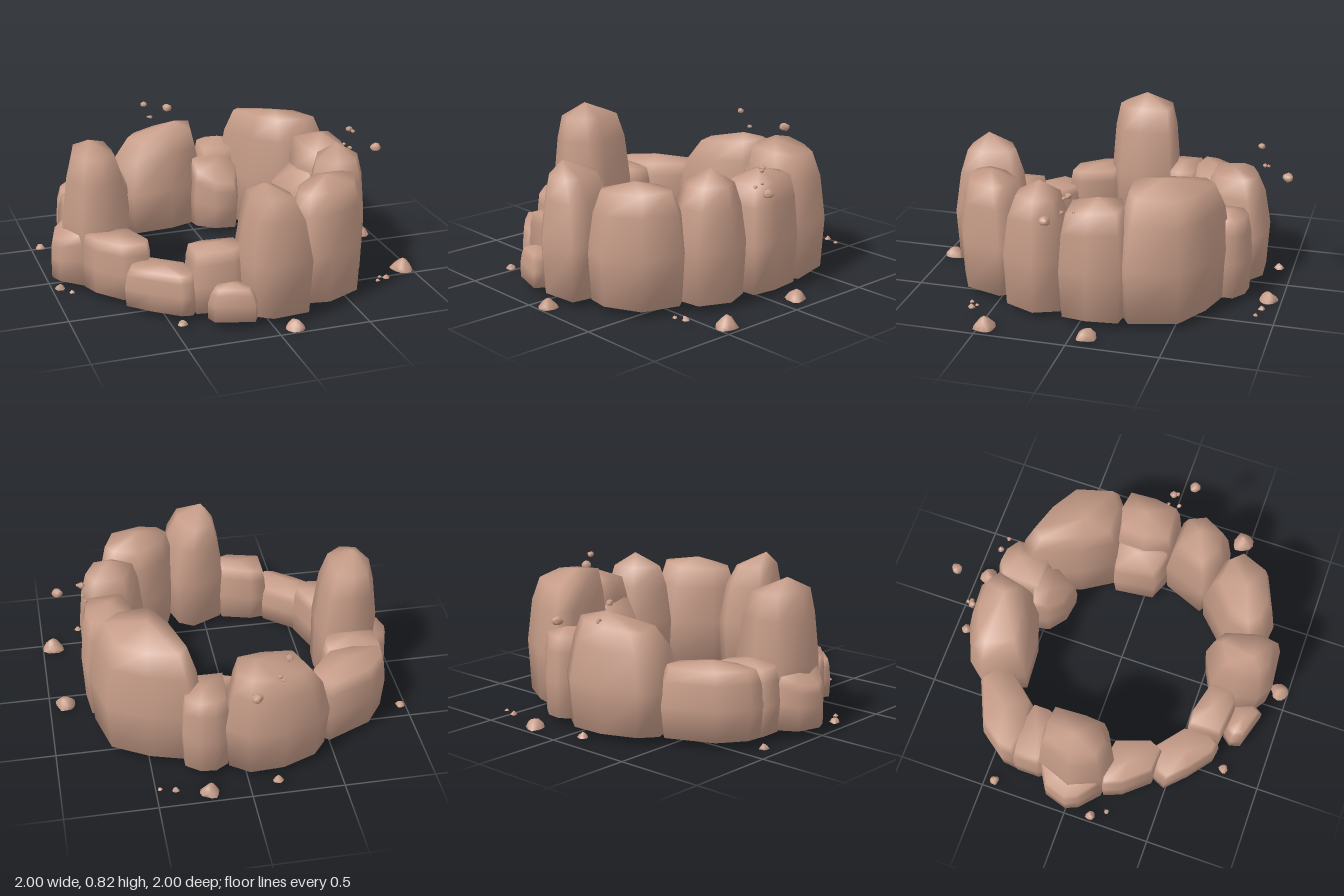
import * as THREE from 'three';
import { toCreasedNormals } from 'three/addons/utils/BufferGeometryUtils.js';

const BASE = 0.04;
const stone = new THREE.MeshStandardMaterial({ color: 0xc69c88 });
stone.name = 'stone';

// Lofts a boulder from its ground outline [x, z]: foot, belly, chest, shoulder and a peak.
// shoulder is [height fraction, width scale in x, width scale in z].
function boulder(name, outline, height, { peak, shoulder = [0.92, 0.78, 0.78], tilt = [0, 0], foot = 0.93 } = {}) {
  let area = 0;
  outline.forEach(([x, z], i) => {
    const [x2, z2] = outline[(i + 1) % outline.length];
    area += x * z2 - x2 * z;
  });
  const pts = area > 0 ? outline : [...outline].reverse();
  const n = pts.length;
  const cx = pts.reduce((s, p) => s + p[0], 0) / n;
  const cz = pts.reduce((s, p) => s + p[1], 0) / n;
  const [px, pz] = peak ?? [cx, cz];
  const [sy, sx, sz] = shoulder;
  const chest = (s) => (1 + s) / 2 + 0.02;
  // [height fraction, scale x, scale z, share of the move towards the peak]
  const rings = [
    [0, foot, foot, 0], [0.42, 1, 1, 0],
    [0.42 + (sy - 0.42) * 0.65, chest(sx), chest(sz), 0.35], [sy, sx, sz, 0.8],
  ];
  const pos = [];
  const index = [];
  for (const [fy, kx, kz, lean] of rings) {
    const mx = cx + (px - cx) * lean * (1 - kx);
    const mz = cz + (pz - cz) * lean * (1 - kz);
    for (const [x, z] of pts) {
      const vx = mx + (x - cx) * kx, vz = mz + (z - cz) * kz;
      const slope = fy * (tilt[0] * (vx - cx) + tilt[1] * (vz - cz));
      pos.push(vx, BASE + fy * (height - BASE) + slope, vz);
    }
  }
  const bottom = pos.length / 3, top = bottom + 1;
  pos.push(cx, BASE, cz, px, height + tilt[0] * (px - cx) + tilt[1] * (pz - cz), pz);
  const last = (rings.length - 1) * n;
  for (let j = 0; j < n; j++) {
    const k = (j + 1) % n;
    index.push(bottom, j, k, top, last + k, last + j);
    for (let r = 0; r < last; r += n) {
      index.push(r + j, r + n + j, r + k, r + k, r + n + j, r + n + k);
    }
  }
  const geo = new THREE.BufferGeometry();
  geo.setAttribute('position', new THREE.Float32BufferAttribute(pos, 3));
  geo.setIndex(index);
  geo.computeVertexNormals();
  const mesh = new THREE.Mesh(geo, stone);
  mesh.name = name;
  return mesh;
}

// Small irregular stone; those lying on the ground are cut flat underneath.
function pebble(name, x, y, z, r, floating, seed) {
  const geo = new THREE.IcosahedronGeometry(r, 1);
  const p = geo.attributes.position;
  const v = new THREE.Vector3();
  for (let i = 0; i < p.count; i++) {
    v.fromBufferAttribute(p, i);
    const d = v.clone().normalize();
    v.multiplyScalar(0.95 + 0.16 * Math.sin(d.x * 3 + seed * 2.1) * Math.cos(d.z * 3 + d.y * 2 + seed));
    v.y *= floating ? 0.8 : 1.05;
    if (!floating) {
      const taper = 1.1 - 0.45 * Math.max(0, v.y / r);
      v.set(v.x * taper, Math.max(v.y, -0.1 * r), v.z * taper);
    }
    p.setXYZ(i, v.x, v.y, v.z);
  }
  const mesh = new THREE.Mesh(toCreasedNormals(geo, 1.2), stone);
  mesh.position.set(x, floating ? y : y + 0.1 * r, z);
  mesh.name = name;
  return mesh;
}

export function createModel() {
  const model = new THREE.Group();
  model.name = 'stoneRing';

  // Left side: tall spire with a low buttress and its neighbours
  model.add(
    boulder('spire', [[-0.84, -0.19], [-0.7, -0.21], [-0.56, -0.19], [-0.55, 0], [-0.56, 0.12], [-0.7, 0.2], [-0.84, 0.17], [-0.91, 0]],
      0.82, { peak: [-0.75, 0], shoulder: [0.91, 0.62, 0.78], foot: 0.98 }),
    boulder('buttress', [[-0.84, -0.19], [-0.94, -0.13], [-0.98, 0.0], [-0.95, 0.07], [-0.84, 0.17], [-0.72, 0.1], [-0.72, -0.15]],
      0.38, { peak: [-0.82, 0], shoulder: [0.84, 0.92, 0.9], tilt: [0.6, 0], foot: 1 }),
    boulder('lowLeftStone', [[-0.87, -0.2], [-0.87, -0.34], [-0.7, -0.36], [-0.53, -0.33], [-0.53, -0.24], [-0.58, -0.13], [-0.8, -0.13]],
      0.42, { shoulder: [0.93, 0.85, 0.9] }),
    boulder('backLeftStone', [[-0.87, -0.33], [-0.86, -0.42], [-0.75, -0.57], [-0.48, -0.69], [-0.4, -0.62], [-0.4, -0.5], [-0.54, -0.33], [-0.7, -0.3]],
      0.44, { shoulder: [0.92, 0.86, 0.8] }),
    boulder('frontLeftStone', [[-0.84, 0.18], [-0.76, 0.13], [-0.58, 0.16], [-0.51, 0.36], [-0.54, 0.43], [-0.68, 0.42], [-0.8, 0.28]],
      0.36, { shoulder: [0.96, 0.92, 0.9], foot: 0.98 }),
    boulder('lowFrontStone', [[-0.69, 0.49], [-0.66, 0.42], [-0.52, 0.36], [-0.35, 0.5], [-0.34, 0.66], [-0.38, 0.72], [-0.44, 0.71], [-0.58, 0.6]],
      0.28, { shoulder: [0.9, 0.86, 0.84], foot: 0.97 }),
  );

  // Back arc
  model.add(
    boulder('backStone', [[-0.48, -0.68], [-0.4, -0.78], [-0.2, -0.86], [0.0, -0.87], [0.11, -0.79], [0.06, -0.53], [-0.14, -0.46], [-0.39, -0.44]],
      0.635, { peak: [-0.07, -0.67], shoulder: [0.93, 0.68, 0.6], tilt: [0.13, 0] }),
    boulder('backGapStone', [[0.08, -0.77], [0.16, -0.82], [0.25, -0.81], [0.33, -0.75], [0.33, -0.68], [0.28, -0.5], [0.06, -0.5]],
      0.52, { shoulder: [0.93, 0.84, 0.78] }),
    boulder('backInnerStone', [[-0.02, -0.55], [0.0, -0.46], [0.1, -0.38], [0.23, -0.36], [0.28, -0.48], [0.2, -0.6]],
      0.43, { shoulder: [0.9, 0.85, 0.85], tilt: [0, -0.9] }),
    boulder('backRightStone', [[0.2, -0.64], [0.27, -0.72], [0.5, -0.65], [0.71, -0.53], [0.78, -0.26], [0.66, -0.18], [0.42, -0.17], [0.3, -0.36]],
      0.75, { peak: [0.46, -0.38], shoulder: [0.95, 0.7, 0.74], tilt: [-0.06, 0.1] }),
  );

  // Right and front arc
  model.add(
    boulder('rightStone', [[0.48, -0.2], [0.64, -0.25], [0.78, -0.23], [0.8, -0.05], [0.78, 0.1], [0.52, 0.12], [0.47, -0.04]],
      0.69, { shoulder: [0.92, 0.74, 0.82], tilt: [0, -0.1] }),
    boulder('rightInnerStone', [[0.37, -0.18], [0.5, -0.22], [0.56, -0.1], [0.52, 0.11], [0.4, 0.06]],
      0.49, { shoulder: [0.94, 0.88, 0.9], tilt: [0.9, 0] }),
    boulder('rightPeakStone', [[0.5, 0.1], [0.72, 0.1], [0.78, 0.25], [0.7, 0.43], [0.55, 0.45], [0.4, 0.35]],
      0.74, { peak: [0.6, 0.25], shoulder: [0.89, 0.72, 0.62] }),
    boulder('frontRightStone', [[0.17, 0.7], [0.22, 0.54], [0.4, 0.36], [0.58, 0.4], [0.64, 0.48], [0.57, 0.7], [0.36, 0.8], [0.23, 0.78]],
      0.69, { shoulder: [0.93, 0.8, 0.66], tilt: [0.08, 0] }),
    boulder('frontStone', [[-0.13, 0.7], [-0.11, 0.57], [0.08, 0.48], [0.17, 0.53], [0.24, 0.75], [0.22, 0.88], [0.0, 0.9], [-0.09, 0.84]],
      0.75, { peak: [-0.01, 0.75], shoulder: [0.9, 0.56, 0.66] }),
    boulder('frontGapStone', [[-0.37, 0.52], [-0.28, 0.51], [-0.1, 0.56], [-0.08, 0.7], [-0.16, 0.74], [-0.37, 0.71]],
      0.4, { shoulder: [0.95, 0.88, 0.85], tilt: [0.08, 0] }),
    boulder('frontFootStone', [[-0.32, 0.77], [-0.28, 0.72], [-0.12, 0.72], [-0.07, 0.84], [-0.1, 0.89], [-0.3, 0.83]],
      0.24, { shoulder: [0.87, 0.7, 0.75], foot: 1 }),
  );

  // Ground pebbles: x, base y, z, radius
  const ground = [
    [0.22, 0, -0.93, 0.05], [0.91, 0.01, -0.09, 0.055], [0.94, 0.01, 0.46, 0.06], [0.1, 0, 0.95, 0.05],
    [-0.15, 0.03, -0.93, 0.026], [-0.46, 0.03, 0.78, 0.025], [-0.97, 0.03, 0.15, 0.026], [-0.96, 0.03, -0.44, 0.026],
    [0.4, 0.035, -0.92, 0.018], [0.48, 0.035, -0.9, 0.012], [0.78, 0.035, 0.59, 0.018], [0.72, 0.035, 0.61, 0.012],
    [0.75, 0.035, 0.57, 0.01], [-0.92, 0.035, 0.23, 0.014],
  ];
  ground.forEach(([x, y, z, r], i) => model.add(pebble('groundPebble', x, y, z, r, false, i)));

  // Pebbles higher up
  const high = [
    [0.9, 0.64, 0.13, 0.031], [-0.02, 0.64, -0.97, 0.031],
    [0.77, 0.735, 0.04, 0.02], [0.785, 0.725, 0.06, 0.013], [0.76, 0.635, 0.08, 0.013], [0.75, 0.64, 0.02, 0.01],
    [-0.22, 0.735, -0.79, 0.02], [-0.17, 0.64, -0.82, 0.013], [-0.18, 0.635, -0.84, 0.01],
  ];
  high.forEach(([x, y, z, r], i) => model.add(pebble('highPebble', x, y, z, r, true, i + 20)));

  return model;
}
